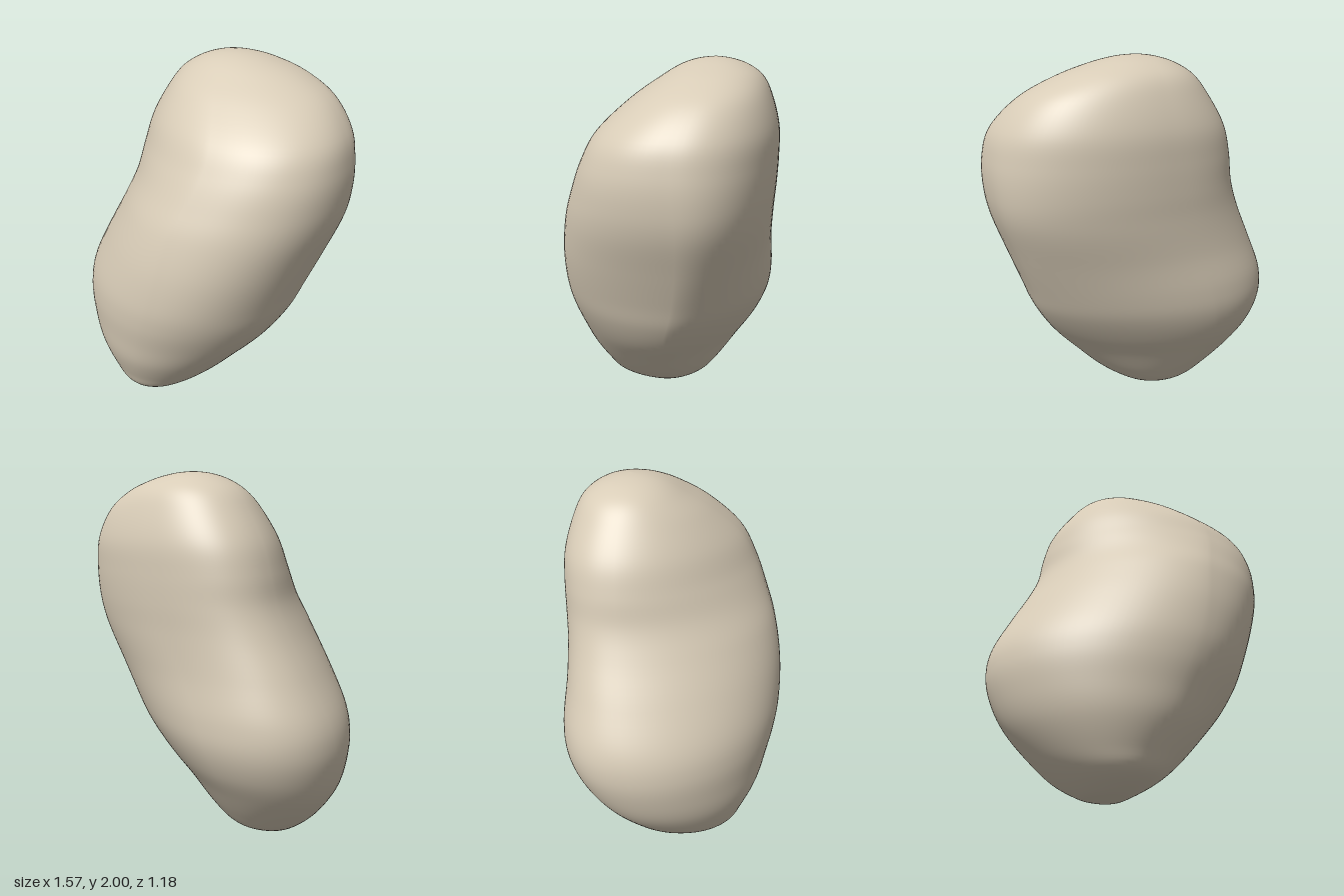
import * as THREE from 'three';
import { mergeVertices } from 'three/addons/utils/BufferGeometryUtils.js';

// Outline of the horizontal sections: y, left x, right x, back z, front z
const outline = [
  [0.00, -0.25, -0.25, 0.06, 0.06],
  [0.008, -0.32, -0.18, 0.00, 0.13],
  [0.03, -0.39, -0.12, -0.07, 0.23],
  [0.10, -0.49, 0.00, -0.20, 0.37],
  [0.20, -0.59, 0.13, -0.29, 0.43],
  [0.35, -0.70, 0.28, -0.40, 0.50],
  [0.50, -0.76, 0.42, -0.50, 0.54],
  [0.65, -0.785, 0.52, -0.56, 0.575],
  [0.80, -0.76, 0.585, -0.575, 0.59],
  [1.00, -0.66, 0.67, -0.565, 0.58],
  [1.20, -0.55, 0.75, -0.57, 0.54],
  [1.35, -0.485, 0.78, -0.58, 0.485],
  [1.50, -0.455, 0.78, -0.585, 0.42],
  [1.65, -0.41, 0.745, -0.58, 0.335],
  [1.80, -0.32, 0.63, -0.54, 0.18],
  [1.90, -0.24, 0.46, -0.49, 0.04],
  [1.96, -0.14, 0.29, -0.41, -0.06],
  [1.99, -0.04, 0.16, -0.32, -0.15],
  [2.00, 0.05, 0.05, -0.24, -0.24],
];

// Ridges and roundness at six equal steps of height: x of front ridge, x of back ridge,
// z of left edge, z of right edge, exponents front left, front right, back right, back left
// (left and right as seen from the front)
const character = [
  [-0.25, -0.25, 0.06, 0.06, 2.0, 2.0, 2.0, 2.0],
  [-0.14, -0.32, -0.08, 0.02, 1.85, 1.95, 1.65, 2.2],
  [0.00, -0.25, -0.17, -0.08, 1.8, 2.15, 1.75, 2.3],
  [0.10, -0.05, -0.22, -0.12, 1.75, 2.3, 2.05, 2.4],
  [0.22, 0.02, -0.25, -0.11, 1.75, 2.4, 2.2, 2.4],
  [0.05, 0.05, -0.24, -0.24, 2.0, 2.1, 2.1, 2.1],
];

// One smooth curve per column of a table
const columns = (table) => table[0].map(
  (_, c) => new THREE.SplineCurve(table.map((row) => new THREE.Vector2(row[c], 0))));
const sample = (curves, t) => curves.map((curve) => curve.getPoint(t).x);
const power = (v, n) => Math.sign(v) * Math.pow(Math.abs(v), 2 / n);

function stoneGeometry(rows, sides) {
  const outlineCurves = columns(outline), characterCurves = columns(character);
  const positions = [], index = [];

  for (let j = 0; j <= rows; j++) {
    const [y, left, right, back, front] = sample(outlineCurves, j / rows);
    const [ridgeF, ridgeB, zLeft, zRight, nFL, nFR, nBR, nBL] =
      sample(characterCurves, THREE.MathUtils.clamp(y / 2, 0, 1));
    // Four rounded quarters that meet at the ridges and side edges
    for (let i = 0; i < sides; i++) {
      const a = (i / sides) * Math.PI * 2;
      const c = Math.cos(a), s = Math.sin(a);
      const n = s > 0 ? (c > 0 ? nFR : nFL) : (c > 0 ? nBR : nBL);
      const ridge = s > 0 ? ridgeF : ridgeB;
      const zMid = c > 0 ? zRight : zLeft;
      positions.push(
        ridge + power(c, n) * (c > 0 ? right - ridge : ridge - left),
        y,
        zMid + power(s, n) * (s > 0 ? front - zMid : zMid - back));
    }
  }
  for (let j = 0; j < rows; j++) {
    for (let i = 0; i < sides; i++) {
      const p = j * sides + i, q = j * sides + (i + 1) % sides;
      if (j < rows - 1) index.push(p, p + sides, q + sides);
      if (j > 0) index.push(p, q + sides, q);
    }
  }
  let geometry = new THREE.BufferGeometry();
  geometry.setAttribute('position', new THREE.Float32BufferAttribute(positions, 3));
  geometry.setIndex(index);
  geometry = mergeVertices(geometry, 1e-5);
  geometry.computeVertexNormals();
  return geometry;
}

export function createModel() {
  const group = new THREE.Group();
  group.name = 'stone';
  const material = new THREE.MeshStandardMaterial({ color: 0xd8ccb7 });
  const stone = new THREE.Mesh(stoneGeometry(108, 96), material);
  stone.name = 'stoneBody';
  group.add(stone);
  return group;
}
